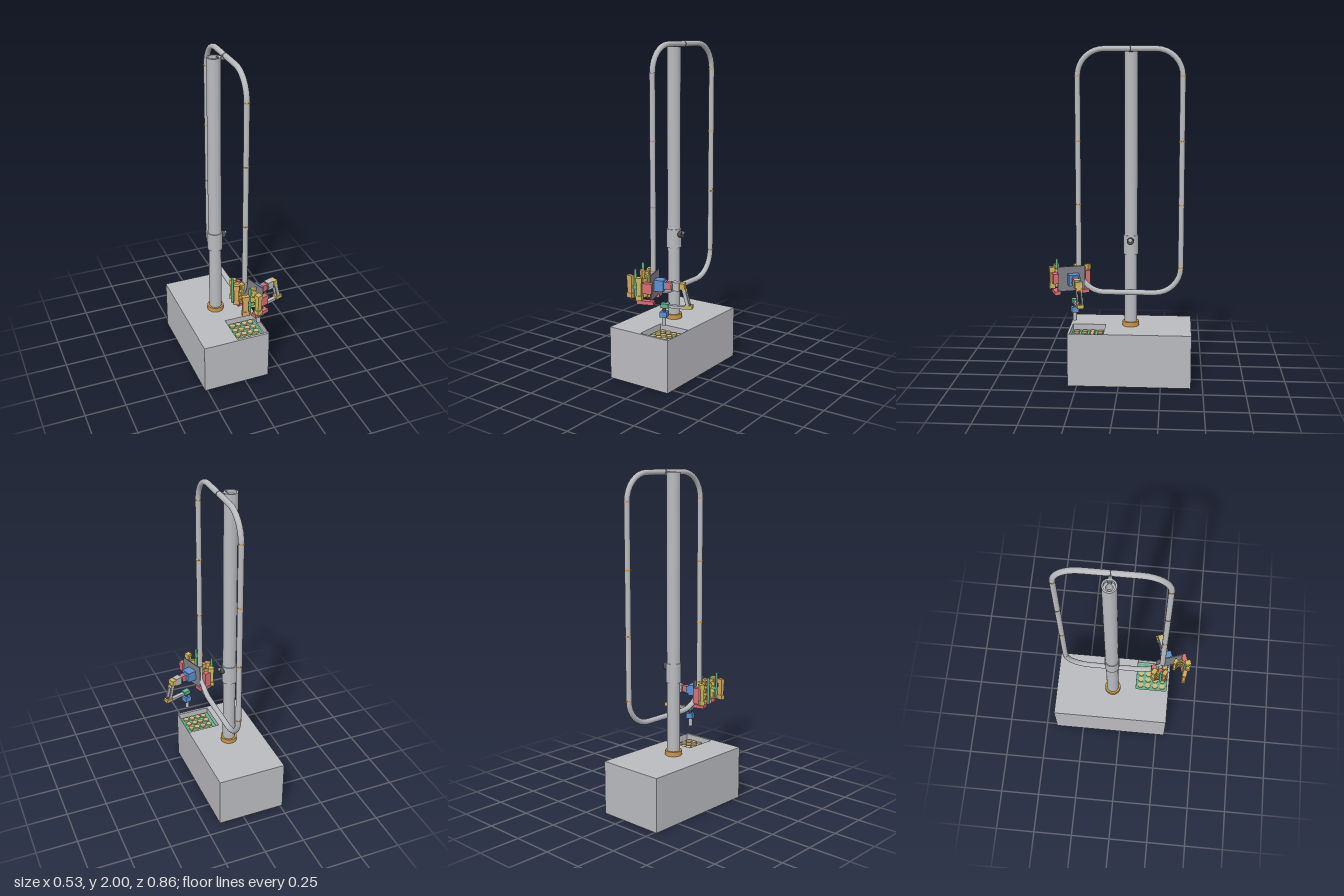
import * as THREE from 'three';
import { toCreasedNormals } from 'three/addons/utils/BufferGeometryUtils.js';

function material(name, color, side = THREE.FrontSide) {
  const m = new THREE.MeshStandardMaterial({ color, side });
  m.name = name;
  return m;
}

export function createModel() {
  const model = new THREE.Group();
  model.name = 'pipeClimbingRobotTestRig';
  const grey = material('light grey', 0xb9babf);
  const plateGrey = material('plate grey', 0x7f8187);
  const dark = material('dark grey', 0x4c4d51);
  const orange = material('orange', 0xcb9748);
  const yellow = material('yellow', 0xcdb75c, THREE.DoubleSide);
  const tan = material('tan', 0xd8a45c);
  const disc = material('sand', 0xcfb780);
  const green = material('green', 0x5cb48a);
  const red = material('red', 0xd66e76);
  const blue = material('blue', 0x5b90d2);

  const add = (name, geo, mat, parent = model, pos = [0, 0, 0], rot = [0, 0, 0]) => {
    const mesh = new THREE.Mesh(geo, mat);
    mesh.name = name;
    mesh.position.set(...pos);
    mesh.rotation.set(...rot);
    parent.add(mesh);
    return mesh;
  };
  const box = (name, mat, size, pos, parent = model, rot = [0, 0, 0]) =>
    add(name, new THREE.BoxGeometry(...size), mat, parent, pos, rot);
  const rod = (name, mat, r, h, pos, parent = model, rot = [0, 0, 0]) =>
    add(name, new THREE.CylinderGeometry(r, r, h, 24), mat, parent, pos, rot);

  // Base block: solid lower part and a rim around a shallow tray pocket
  const rectangle = (path, x0, x1, z0, z1) => {
    path.moveTo(x0, z0);
    path.lineTo(x1, z0);
    path.lineTo(x1, z1);
    path.lineTo(x0, z1);
    path.closePath();
    return path;
  };
  const baseTop = 0.323, floorY = 0.275;
  box('baseBlock', grey, [0.42, floorY, 0.735], [-0.054, floorY / 2, -0.0625]);
  const rim = rectangle(new THREE.Shape(), -0.264, 0.156, -0.43, 0.305);
  rim.holes.push(rectangle(new THREE.Path(), -0.048, 0.153, 0.09, 0.29));
  const rimGeo = new THREE.ExtrudeGeometry(rim, { depth: baseTop - floorY, bevelEnabled: false });
  rimGeo.rotateX(Math.PI / 2).translate(0, baseTop, 0);
  add('baseRim', rimGeo, grey);

  // Sample tray with a grid of round pots
  box('sampleTray', green, [0.19, 0.01, 0.2], [0.047, floorY + 0.005, 0.19]);
  for (let i = 0; i < 4; i++)
    for (let j = 0; j < 4; j++)
      rod('samplePot', disc, 0.0175, 0.012, [-0.01 + i * 0.04, floorY + 0.014, 0.118 + j * 0.048]);

  // Column: lower tube, sleeve and hollow upper tube
  const cx = -0.054, cz = -0.0625;
  const profile = [
    [0.038, 0.32], [0.038, 0.77], [0.045, 0.77], [0.045, 0.885], [0.04, 0.885],
    [0.04, 1.985], [0.031, 1.985], [0.031, 1.965], [0.018, 1.965], [0.018, 1.9], [0, 1.9],
  ].map(([r, y]) => new THREE.Vector2(r, y));
  add('column', toCreasedNormals(new THREE.LatheGeometry(profile, 40), 0.6), grey, model, [cx, 0, cz]);
  rod('columnFlange', orange, 0.05, 0.03, [cx, 0.336, cz]);
  rod('sleeveKnob', dark, 0.021, 0.03, [cx + 0.049, 0.855, cz], model, [0, 0, Math.PI / 2]);
  rod('sleeveKnobCap', grey, 0.01, 0.012, [cx + 0.066, 0.865, cz], model, [0, 0, Math.PI / 2]);
  box('topBracket', plateGrey, [0.045, 0.02, 0.022], [-0.012, 1.975, cz]);
  add('topClip', new THREE.TorusGeometry(0.0165, 0.003, 8, 24), plateGrey, model, [0.015, 1.982, cz]);

  // Rounded pipe loop, standing in a vertical plane
  const px = 0.015, pr = 0.0165, bend = 0.155;
  const zF = 0.246, zB = -0.363, yT = 1.983, yB = 0.546;
  [[zF, yT], [zB, yT], [zB, yB], [zF, yB]].forEach(([z, y], k) => {
    const geo = new THREE.TorusGeometry(bend, pr, 20, 8, Math.PI / 2);
    geo.rotateZ(k * Math.PI / 2).rotateY(-Math.PI / 2);
    add('pipeBend', geo, grey, model, [px, y + (y === yT ? -bend : bend), z + (z === zF ? -bend : bend)]);
  });
  const zLen = zF - zB - 2 * bend, yLen = yT - yB - 2 * bend;
  for (const y of [yT, yB])
    rod('pipeHorizontal', grey, pr, zLen, [px, y, (zF + zB) / 2], model, [Math.PI / 2, 0, 0]);
  for (const z of [zF, zB]) {
    rod('pipeVertical', grey, pr, yLen, [px, (yT + yB) / 2, z]);
    for (let i = 0; i < 4; i++)
      rod('pipeJoint', orange, pr + 0.0015, 0.007, [px, yB + bend + yLen * i / 3, z]);
  }

  // Robot body and arm, turned about the pipe
  const robot = new THREE.Group();
  robot.name = 'robotArm';
  robot.position.set(0.016, 0, 0.246);
  robot.rotation.y = 0.32;
  model.add(robot);
  const az = 0.043;
  box('bodyPlate', plateGrey, [0.006, 0.15, 0.165], [0.024, 0.635, 0.052], robot);
  box('shoulderMotor', blue, [0.055, 0.065, 0.066], [0.053, 0.635, az], robot);
  box('shoulderFlange', blue, [0.012, 0.045, 0.05], [0.086, 0.635, az - 0.008], robot);
  box('upperArmMotor', red, [0.032, 0.042, 0.034], [0.108, 0.635, az], robot);
  rod('elbowCollar', plateGrey, 0.027, 0.008, [0.128, 0.635, az], robot, [0, 0, Math.PI / 2]);
  box('upperArm', grey, [0.042, 0.05, 0.04], [0.152, 0.635, az], robot);
  box('elbow', yellow, [0.028, 0.036, 0.044], [0.188, 0.638, az], robot);
  for (const s of [-1, 1])
    box('forearmLink', grey, [0.02, 0.125, 0.008], [0.208, 0.578, az + s * 0.014], robot, [0, 0, 0.27]);
  box('forearmCover', tan, [0.022, 0.02, 0.034], [0.2, 0.612, az], robot, [0, 0, 0.27]);
  box('wrist', yellow, [0.045, 0.022, 0.038], [0.225, 0.52, az], robot);
  box('wristCap', dark, [0.018, 0.004, 0.018], [0.228, 0.532, az], robot);
  box('wristArm', grey, [0.13, 0.016, 0.024], [0.145, 0.512, az], robot);
  box('toolMount', green, [0.045, 0.026, 0.034], [0.084, 0.514, az], robot);
  rod('toolNeck', dark, 0.009, 0.025, [0.078, 0.49, az], robot);
  box('toolMotor', blue, [0.042, 0.034, 0.042], [0.078, 0.462, az], robot);
  rod('toolShaft', grey, 0.012, 0.052, [0.076, 0.42, az], robot);

  // Clamps: tall jaws with thicker blocks at both ends
  const jaw = (name, mat, x, z, sx, sz, turn, parent) => {
    const g = new THREE.Group();
    g.name = name;
    g.position.set(x, 0, z);
    g.rotation.y = turn;
    parent.add(g);
    box('jawBody', mat, [sx * 0.8, 0.13, sz * 0.8], [0, 0.635, 0], g);
    for (const y of [0.584, 0.688]) box('jawEnd', mat, [sx, 0.028, sz], [0, y, 0], g);
  };
  const ring = (x, z, start, length, parent) => {
    for (const y of [0.59, 0.635, 0.68]) {
      const s = new THREE.Shape();
      s.absarc(0, 0, 0.032, start, start + length, false);
      s.absarc(0, 0, 0.024, start + length, start, true);
      const geo = new THREE.ExtrudeGeometry(s, { depth: 0.02, bevelEnabled: false, curveSegments: 16 });
      geo.rotateX(Math.PI / 2);
      add('gripRing', geo, yellow, parent, [x, y + 0.01, z]);
    }
  };

  // Clamp beside the pipe
  const inner = new THREE.Group();
  inner.name = 'innerClamp';
  model.add(inner);
  jaw('backJaw', yellow, -0.042, 0.2, 0.036, 0.03, -0.45, inner);
  jaw('frontJaw', tan, -0.045, 0.268, 0.036, 0.026, -0.5, inner);
  jaw('sideJaw', yellow, -0.012, 0.265, 0.022, 0.03, 0.3, inner);
  ring(-0.027, 0.243, 0.6, 5, inner);
  rod('hingePin', green, 0.008, 0.17, [-0.062, 0.655, 0.242], inner);
  box('clampMotor', red, [0.04, 0.1, 0.03], [-0.01, 0.625, 0.197], inner, [0, 0.3, 0]);
  box('clampFoot', red, [0.09, 0.022, 0.06], [0.0, 0.556, 0.225], inner, [0, 0.32, 0]);

  // Open clamp at the front
  const outer = new THREE.Group();
  outer.name = 'outerClamp';
  model.add(outer);
  jaw('frontJaw', yellow, 0.035, 0.406, 0.034, 0.034, 0.32, outer);
  jaw('backJaw', yellow, 0.036, 0.329, 0.036, 0.02, -0.4, outer);
  jaw('openJaw', tan, -0.04, 0.39, 0.042, 0.026, -0.15, outer);
  ring(0.018, 0.362, -1.3, 2.8, outer);
  rod('hingePin', green, 0.008, 0.17, [-0.01, 0.655, 0.383], outer);
  box('hingeLink', green, [0.05, 0.02, 0.008], [-0.008, 0.635, 0.386], outer);
  box('clampMotor', red, [0.054, 0.06, 0.032], [0.074, 0.64, 0.381], outer, [0, 0.32, 0]);
  box('clampFoot', red, [0.1, 0.022, 0.036], [0.058, 0.555, 0.378], outer, [0, 0.32, 0]);

  return model;
}
